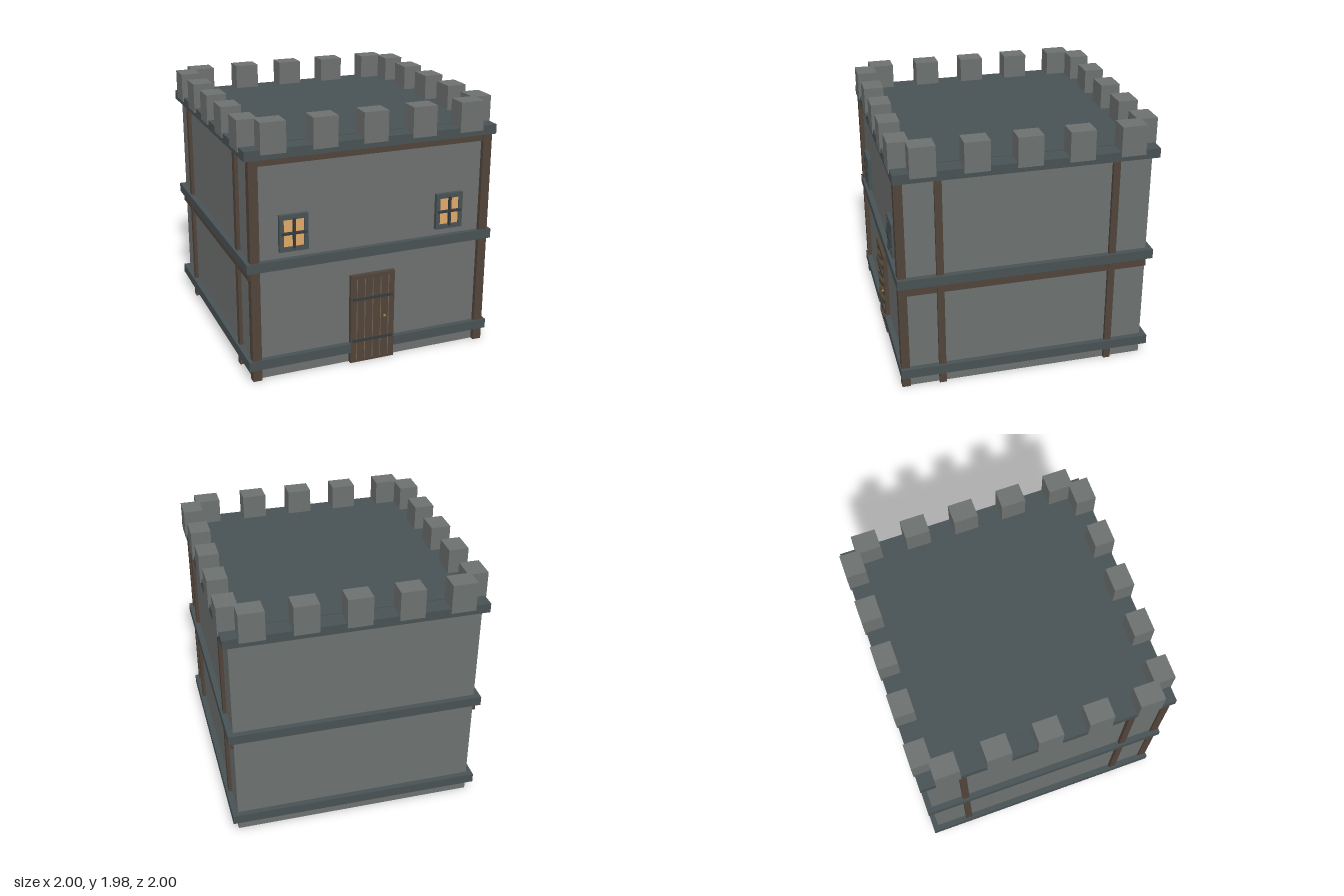
import * as THREE from 'three';

const mat = (color) => new THREE.MeshStandardMaterial({ color, flatShading: true });

export function createModel() {
  const stone = mat(0x6c706e), slate = mat(0x485153), wood = mat(0x50443a);
  const glow = mat(0xe0a868), iron = mat(0x363b3d), groove = mat(0x776348), brass = mat(0x9c7b45);
  const model = new THREE.Group();
  model.name = 'keep';

  const group = (name, parent = model) => {
    const g = new THREE.Group();
    g.name = name;
    parent.add(g);
    return g;
  };
  // Box given by its lower and upper limits on each axis
  const box = (parent, name, material, [x0, x1], [y0, y1], [z0, z1]) => {
    const mesh = new THREE.Mesh(new THREE.BoxGeometry(x1 - x0, y1 - y0, z1 - z0), material);
    mesh.position.set((x0 + x1) / 2, (y0 + y1) / 2, (z0 + z1) / 2);
    mesh.name = name;
    parent.add(mesh);
    return mesh;
  };

  // Main block
  const W = 0.945, B = 0.99;
  box(model, 'walls', stone, [-W, W], [0, 1.72], [-W, 0.95]);

  // Stone bands; the lowest is broken by the door
  const bands = group('bands');
  box(bands, 'middleBand', slate, [-B, B], [0.872, 0.946], [-B, 0.993]);
  const low = [0.093, 0.168];
  box(bands, 'baseBandBack', slate, [-B, B], low, [-B, -0.9]);
  for (const s of [-1, 1]) {
    const span = (a, b) => (s > 0 ? [a, b] : [-b, -a]);
    box(bands, 'baseBandSide', slate, span(0.9, B), low, [-0.9, 0.9]);
    box(bands, 'baseBandFront', slate, span(0.18, B), low, [0.9, 0.993]);
  }

  // Roof slab with a slightly raised floor inside the parapet
  box(model, 'roofSlab', slate, [-B, B], [1.712, 1.785], [-B, 0.993]);
  box(model, 'roofFloor', slate, [-0.845, 0.845], [1.75, 1.79], [-0.845, 0.845]);

  // Timber framing on the front and both sides
  const timber = group('timberFrame');
  box(timber, 'topBeam', wood, [-0.89, 0.89], [1.665, 1.712], [0.92, 0.98]);
  for (const s of [-1, 1]) {
    const span = (a, b) => (s > 0 ? [a, b] : [-b, -a]);
    box(timber, 'cornerPost', wood, span(0.89, 0.96), [0, 1.712], [0.92, 0.985]);
    box(timber, 'sideBeam', wood, span(0.92, 0.967), [0.8, 0.872], [-W, 0.953]);
    for (const z of [-0.665, 0.668])
      box(timber, 'sidePost', wood, span(0.92, 0.972), [0, 1.712], [z - 0.027, z + 0.027]);
  }

  // Battlements
  const battlements = group('battlements');
  for (const c of [-0.777, -0.388, 0, 0.388, 0.777]) {
    const along = [c - 0.095, c + 0.095], up = [1.75, 1.98];
    for (const across of [[-1, -0.845], [0.845, 1]]) {
      box(battlements, 'merlon', stone, along, up, across);
      box(battlements, 'merlon', stone, across, up, along);
    }
  }

  // Windows: four-sided frame, lit pane and crossing bars
  for (const s of [-1, 1]) {
    const win = group(s > 0 ? 'windowLeft' : 'windowRight');
    win.position.set(s * 0.626, 1.14, 0);
    const fz = [0.93, 0.982];
    box(win, 'pane', glow, [-0.08, 0.08], [-0.107, 0.107], [0.93, 0.972]);
    for (const t of [-1, 1]) {
      const span = (a, b) => (t > 0 ? [a, b] : [-b, -a]);
      box(win, 'frameSide', slate, span(0.078, 0.111), [-0.14, 0.14], fz);
      box(win, 'frameEnd', slate, [-0.078, 0.078], span(0.104, 0.14), fz);
    }
    box(win, 'uprightBar', iron, [-0.008, 0.008], [-0.115, 0.115], [0.965, 0.997]);
    box(win, 'crossBar', iron, [-0.097, 0.097], [-0.008, 0.008], [0.965, 0.995]);
  }

  // Plank door with straps and a knob
  const door = group('door');
  box(door, 'doorLeaf', wood, [-0.18, 0.18], [0, 0.724], [0.92, 0.985]);
  for (let i = -2; i <= 2; i++)
    box(door, 'plankLine', groove, [i * 0.065 - 0.003, i * 0.065 + 0.003], [0.022, 0.692], [0.97, 0.987]);
  for (const y of [0.185, 0.531])
    box(door, 'strap', iron, [-0.163, 0.163], [y - 0.011, y + 0.011], [0.97, 0.995]);
  const knob = new THREE.Mesh(new THREE.SphereGeometry(0.011, 8, 6), brass);
  knob.name = 'knob';
  knob.position.set(0.098, 0.36, 0.991);
  door.add(knob);

  return model;
}
